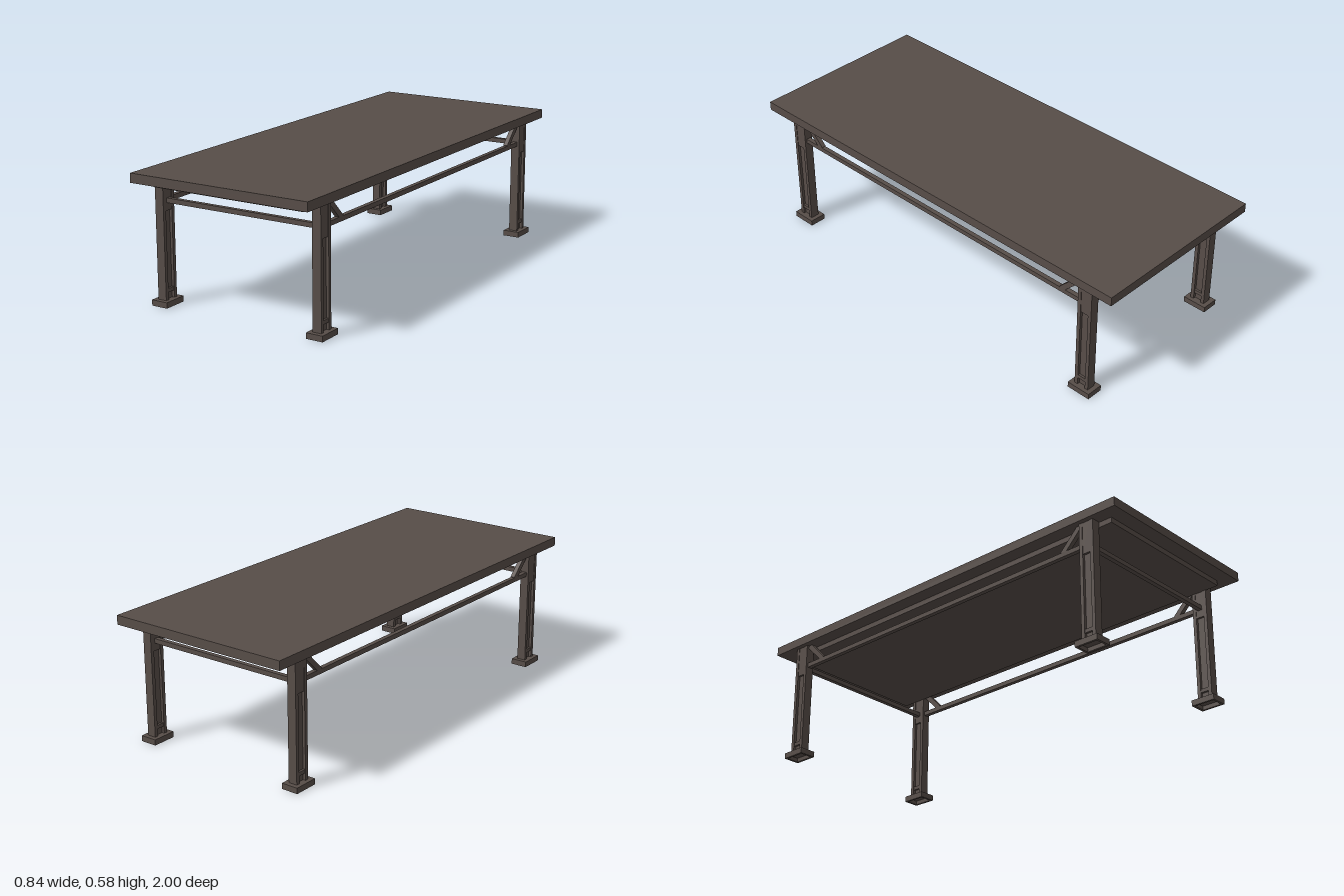
import * as THREE from 'three';

export function createModel() {
  const model = new THREE.Group();
  model.name = 'table';
  const darkBrown = new THREE.MeshStandardMaterial({ color: 0x574d48 });
  darkBrown.name = 'darkBrown';

  // Box given by its size and centre
  function box(parent, name, w, h, d, x, y, z) {
    const mesh = new THREE.Mesh(new THREE.BoxGeometry(w, h, d), darkBrown);
    mesh.name = name;
    mesh.position.set(x, y, z);
    parent.add(mesh);
    return mesh;
  }

  // Upright leg: two flanges, a recessed web, cross blocks and a hollow foot
  function leg(x, z) {
    const g = new THREE.Group();
    g.name = 'leg';
    g.position.set(x, 0, z);
    for (const s of [-1, 1]) {
      box(g, 'legFlange', 0.04, 0.515, 0.016, 0, 0.2825, s * 0.027);
    }
    box(g, 'legWeb', 0.016, 0.375, 0.038, 0, 0.2125, 0);
    box(g, 'legTopBlock', 0.036, 0.14, 0.038, 0, 0.47, 0);
    box(g, 'legBottomBlock', 0.036, 0.016, 0.038, 0, 0.064, 0);
    // foot
    box(g, 'footPlate', 0.076, 0.007, 0.11, 0, 0.0215, 0);
    for (const s of [-1, 1]) {
      box(g, 'footRim', 0.01, 0.018, 0.11, s * 0.033, 0.009, 0);
      box(g, 'footRim', 0.056, 0.018, 0.01, 0, 0.009, s * 0.05);
    }
    model.add(g);
  }

  // Table top with a solid panel beneath it
  box(model, 'tableTop', 0.84, 0.04, 2, 0, 0.56, 0);
  box(model, 'underPanel', 0.714, 0.023, 1.87, 0, 0.5285, 0);

  const legX = 0.377, legZ = 0.844, shiftX = -0.0025, shiftZ = -0.005;
  for (const sx of [-1, 1]) {
    const x = sx * legX + shiftX;
    // long sides
    box(model, 'sideStretcher', 0.02, 0.02, 1.62, x, 0.443, shiftZ);
    for (const sz of [-1, 1]) {
      leg(x, sz * legZ + shiftZ);
      // diagonal brace between leg top and stretcher
      const brace = box(model, 'brace', 0.02, 0.023, 0.128, x, 0.493, sz * 0.758 + shiftZ);
      brace.rotation.x = -sz * Math.PI / 4;
    }
  }

  // short ends
  for (const sz of [-1, 1]) {
    box(model, 'endStretcher', 0.72, 0.02, 0.02, shiftX, 0.443, sz * legZ + shiftZ);
  }
  return model;
}
